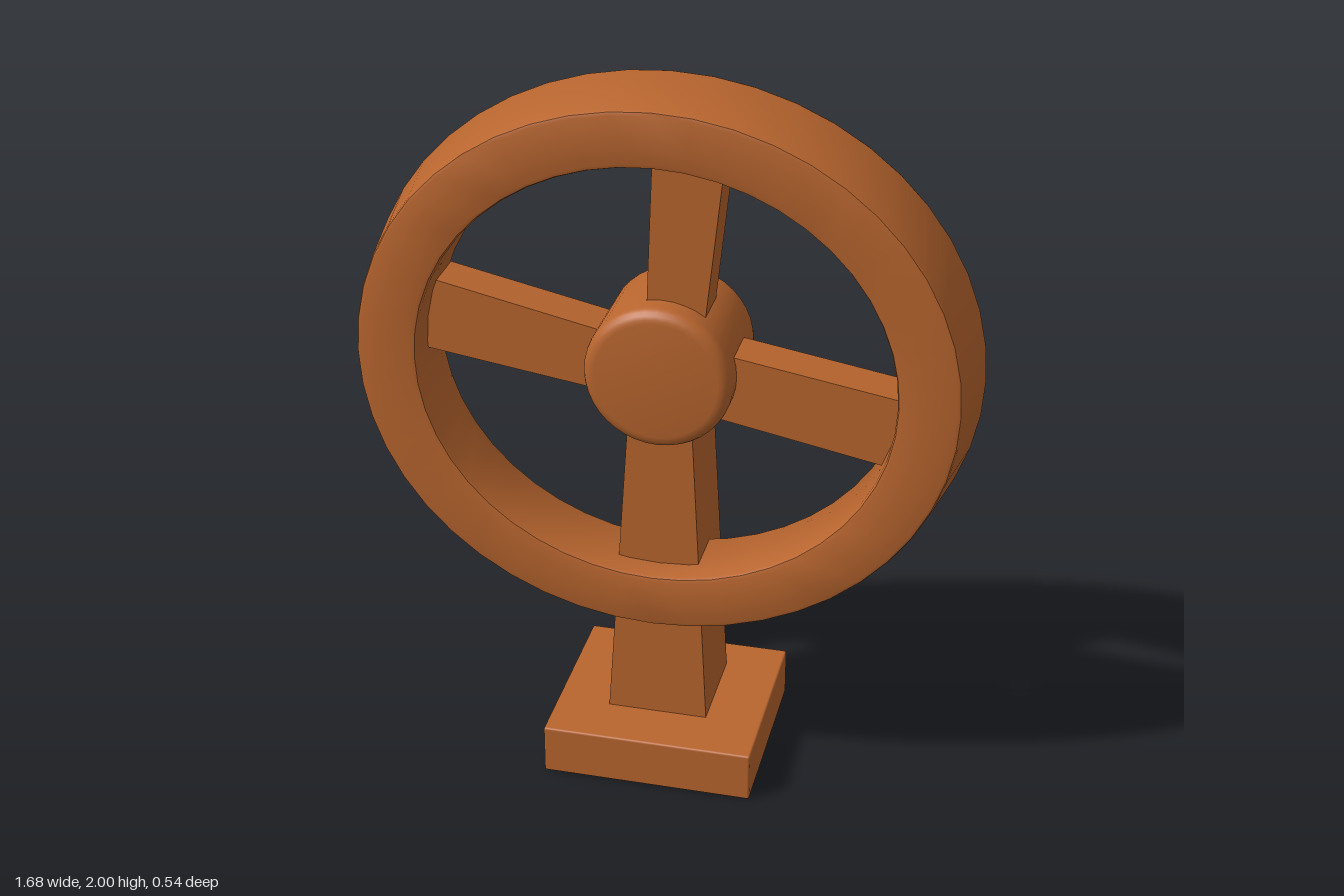
import * as THREE from 'three';
import { toCreasedNormals } from 'three/addons/utils/BufferGeometryUtils.js';
import { RoundedBoxGeometry } from 'three/addons/geometries/RoundedBoxGeometry.js';

const bronze = new THREE.MeshStandardMaterial({ color: 0xb8652e });
bronze.name = 'bronze';

export function createModel() {
  const group = new THREE.Group();
  const add = (name, geometry, x = 0, y = 0, z = 0) => {
    const mesh = new THREE.Mesh(geometry, bronze);
    mesh.name = name;
    mesh.position.set(x, y, z);
    group.add(mesh);
    return mesh;
  };
  // Turned shape around the z axis; points are [radius, z]
  const turned = (points, segments) => {
    const profile = points.map(([r, z]) => new THREE.Vector2(r, z));
    return new THREE.LatheGeometry(profile, segments).rotateX(Math.PI / 2);
  };

  // Base block
  add('base', new RoundedBoxGeometry(0.59, 0.145, 0.54, 2, 0.006), 0, 0.0725, 0);

  // Tapered post running up into the hub
  const post = new THREE.BoxGeometry(1, 1, 1);
  const p = post.attributes.position;
  for (let i = 0; i < p.count; i++) {
    const top = p.getY(i) > 0;
    const right = p.getX(i) > 0;
    const front = p.getZ(i) > 0;
    p.setXYZ(i,
      right ? (top ? 0.085 : 0.137) : (top ? -0.08 : -0.145),
      top ? 1.15 : 0.14,
      front ? (top ? 0.105 : 0.115) : (top ? -0.153 : -0.165));
  }
  post.computeVertexNormals();
  add('post', post);

  // Oval rim, wider at the back, with softened edges
  const rim = turned([
    [0.65, -0.037], [0.828, -0.037], [0.837, -0.034], [0.84, -0.025],
    [0.806, 0.178], [0.802, 0.187], [0.793, 0.19],
    [0.655, 0.19], [0.645, 0.187], [0.641, 0.178],
    [0.641, -0.028], [0.65, -0.037],
  ], 48);
  rim.scale(1, 0.922, 1);
  add('rim', toCreasedNormals(rim, 0.8), 0, 1.227, 0);

  // Round hub with filleted edges on both faces
  const profile = [[0, -0.165]];
  const fillet = 0.035;
  for (const side of [-1, 1]) {
    for (let i = 0; i <= 5; i++) {
      const a = (side < 0 ? i - 5 : i) * Math.PI / 10;
      profile.push([0.2 - fillet + fillet * Math.cos(a),
        side * (0.165 - fillet) + fillet * Math.sin(a)]);
    }
  }
  profile.push([0, 0.165]);
  add('hub', toCreasedNormals(turned(profile, 40), 0.6), 0.005, 1.22, 0);

  // Spokes: flat tapered bars, slightly askew, sunk into hub and rim
  const spokes = {
    topSpoke: [[-0.04, 1.3], [0.112, 1.3], [0.173, 1.87], [-0.018, 1.87]],
    leftSpoke: [[0.1, 1.103], [0.7, 0.988], [0.7, 1.192], [0.1, 1.292]],
    rightSpoke: [[-0.1, 1.131], [-0.1, 1.302], [-0.69, 1.429], [-0.69, 1.218]],
  };
  for (const [name, corners] of Object.entries(spokes)) {
    const shape = new THREE.Shape(corners.map(([x, y]) => new THREE.Vector2(x, y)));
    add(name, new THREE.ExtrudeGeometry(shape, { depth: 0.125, bevelEnabled: false }), 0, 0, -0.035);
  }

  return group;
}
